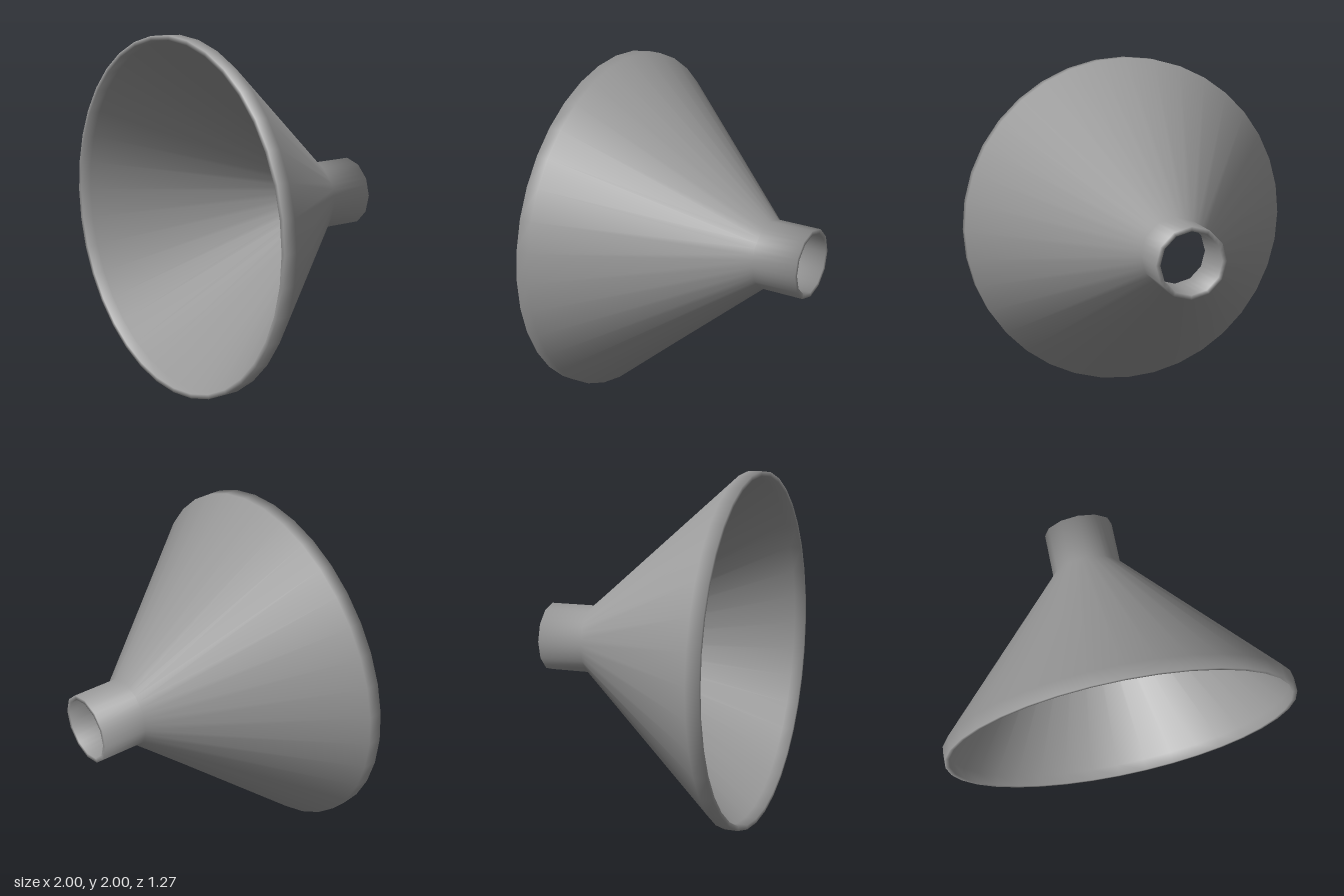
import * as THREE from 'three';

const RIM_SIDES = 36;
const SPOUT_SIDES = 12;
const material = new THREE.MeshStandardMaterial({ color: 0x999999, side: THREE.DoubleSide });

// Unit normal of each edge of the closed profile, pointing out of the wall.
function edgeNormals(profile) {
  return profile.slice(1).map((b, j) =>
    new THREE.Vector2(b.y - profile[j].y, profile[j].x - b.x).normalize());
}

// Turned wall with soft shading: every corner evenly blends its two neighbouring edges.
function turnedShell(profile) {
  const geometry = new THREE.LatheGeometry(profile, RIM_SIDES);
  const { position, normal } = geometry.attributes;
  const edges = edgeNormals(profile);
  const corners = profile.map((_, j) =>
    edges[j % edges.length].clone().add(edges[(j + edges.length - 1) % edges.length]).normalize());

  const sector = (Math.PI * 2) / SPOUT_SIDES;
  for (let side = 0; side <= RIM_SIDES; side++) {
    const angle = (side / RIM_SIDES) * Math.PI * 2;
    // The spout has fewer sides than the rim: pull its points onto the coarser polygon
    const pull = Math.cos(sector / 2) / Math.cos((angle % sector) - sector / 2);
    profile.forEach((point, j) => {
      const i = side * profile.length + j;
      const r = point.x < 0.5 ? point.x * pull : point.x;
      position.setXYZ(i, r * Math.sin(angle), point.y, r * Math.cos(angle));
      normal.setXYZ(i, corners[j].x * Math.sin(angle), corners[j].y, corners[j].x * Math.cos(angle));
    });
  }
  return geometry.rotateX(Math.PI / 2);
}

export function createModel() {
  const group = new THREE.Group();
  group.name = 'funnel';

  // Closed wall section as [radius, z]
  const section = [
    [0.2, -0.635], [0.2, -0.37], [1, 0.56], [1, 0.635], // outside: spout, cone, rim
    [0.975, 0.635], [0.975, 0.57], [0.175, -0.36], [0.175, -0.635], // inside, back to the spout
    [0.2, -0.635],
  ].map(([r, z]) => new THREE.Vector2(r, z));

  const shell = new THREE.Mesh(turnedShell(section), material);
  shell.name = 'funnelShell';
  // Rest the rim on the ground
  shell.position.y = 1;
  group.add(shell);
  return group;
}
